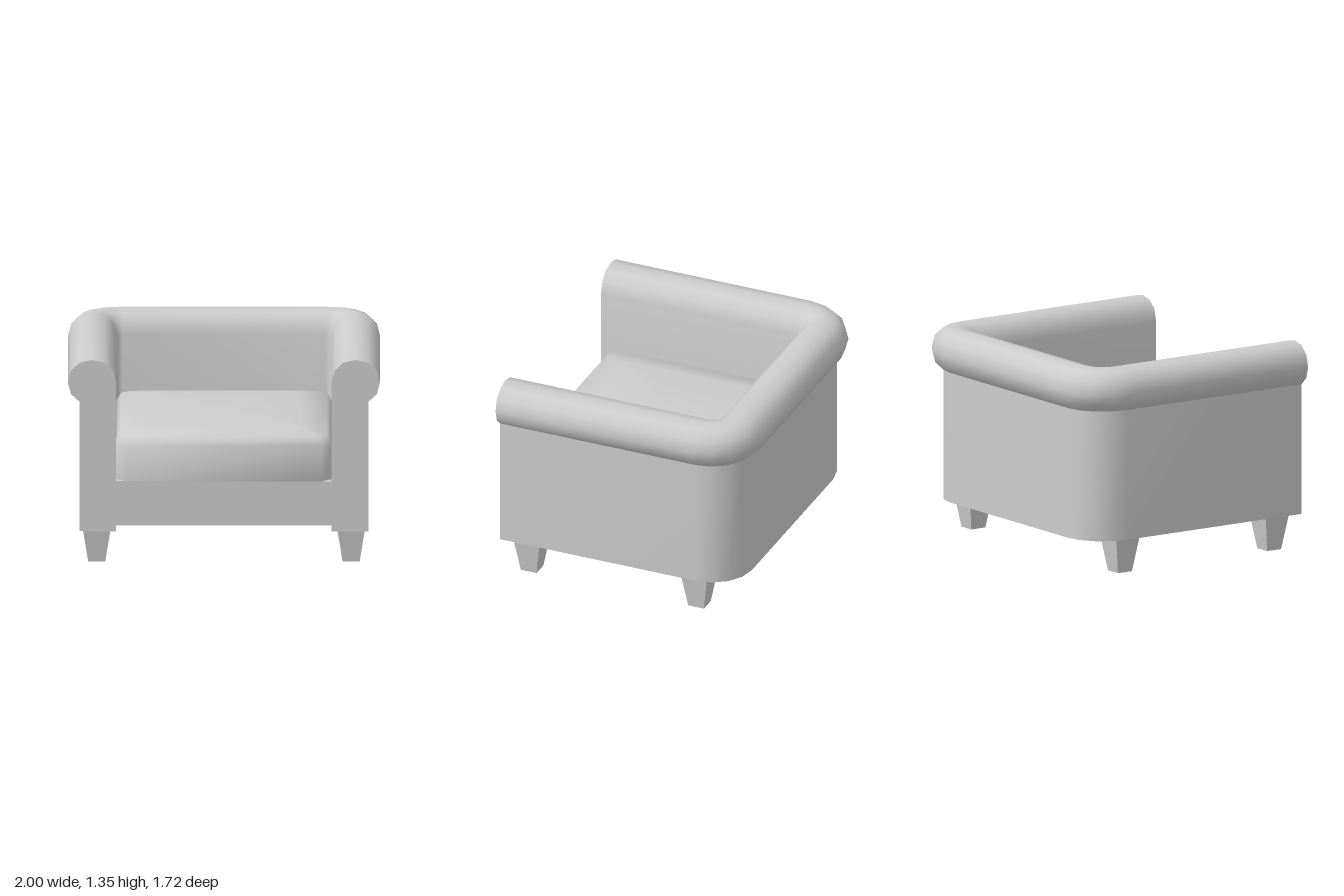
import * as THREE from 'three';
import { toCreasedNormals } from 'three/addons/utils/BufferGeometryUtils.js';

const HALF = 0.65, BACK = -0.51, FRONT = 0.855; // corner centres and arm ends

// Wall and rolled top, swept in a U from one arm front around the back to the other
function frameGeometry() {
  // cross-section: distance from the corner centre, height
  const profile = [
    [0.04, 0.225], [0.275, 0.225], [0.275, 1.075], [0.33, 1.125], [0.35, 1.2],
    [0.33, 1.28], [0.275, 1.332], [0.195, 1.35], [0.115, 1.332], [0.06, 1.28], [0.04, 1.2],
  ].map(([x, y]) => new THREE.Vector2(x, y));

  const stations = [[-HALF, FRONT, 0]];
  for (const side of [-1, 1])
    for (let i = 0; i <= 4; i++)
      stations.push([side * HALF, BACK, ((side < 0 ? 0 : 4) + i) * Math.PI / 8]);
  stations.push([HALF, FRONT, Math.PI]);

  const steps = stations.length - 1;
  const geo = new THREE.ExtrudeGeometry(new THREE.Shape(profile), { depth: steps, steps, bevelEnabled: false });
  const p = geo.attributes.position;
  for (let i = 0; i < p.count; i++) {
    const [cx, cz, a] = stations[Math.round(p.getZ(i))];
    const d = p.getX(i);
    p.setXYZ(i, cx - d * Math.cos(a), p.getY(i), cz - d * Math.sin(a));
  }
  return toCreasedNormals(geo, 0.7);
}

// Domed cushion: chamfered outline stacked in shrinking loops up to a centre point
function cushionGeometry() {
  const hx = 0.69, hz = 0.6975, cz = 0.0975, c = 0.063;
  const outline = [
    [hx, hz - c], [hx, c - hz], [hx - c, -hz], [c - hx, -hz],
    [-hx, c - hz], [-hx, hz - c], [c - hx, hz], [hx - c, hz],
  ];
  const layers = [[0, 0.54], [0, 0.77], [0.03, 0.828], [0.2, 0.866]]; // inset, height
  const n = outline.length, pos = [], index = [];
  for (const [inset, y] of layers)
    for (const [x, z] of outline) pos.push(x * (1 - inset / hx), y, cz + z * (1 - inset / hz));
  const top = pos.length / 3;
  pos.push(0, 0.885, cz);
  for (let i = 0; i < n; i++) {
    const j = (i + 1) % n;
    for (let k = 0; k < layers.length - 1; k++) {
      const a = k * n + i, b = k * n + j;
      index.push(a, b, b + n, a, b + n, a + n);
    }
    const last = (layers.length - 1) * n;
    index.push(last + i, last + j, top);
  }
  const geo = new THREE.BufferGeometry();
  geo.setAttribute('position', new THREE.Float32BufferAttribute(pos, 3));
  geo.setIndex(index);
  return toCreasedNormals(geo, 1.0);
}

export function createModel() {
  const model = new THREE.Group();
  model.name = 'armchair';
  const fabric = new THREE.MeshStandardMaterial({ color: 0xcccccc });
  fabric.name = 'light grey';

  const add = (name, geo, x = 0, y = 0, z = 0) => {
    const mesh = new THREE.Mesh(geo, fabric);
    mesh.name = name;
    mesh.position.set(x, y, z);
    model.add(mesh);
  };

  add('armsAndBack', frameGeometry());
  add('seatBase', new THREE.BoxGeometry(1.38, 0.29, 1.355), 0, 0.395, 0.1175);
  add('seatCushion', cushionGeometry());

  // Tapered square legs
  const leg = new THREE.CylinderGeometry(0.09 * Math.SQRT2, 0.055 * Math.SQRT2, 0.225, 4)
    .rotateY(Math.PI / 4);
  const legGeo = toCreasedNormals(leg, 0.3);
  for (const [side, x] of [['left', 0.815], ['right', -0.815]]) {
    add(side + 'FrontLeg', legGeo, x, 0.1125, 0.68);
    add(side + 'BackLeg', legGeo, x, 0.1125, -0.49);
  }
  return model;
}
